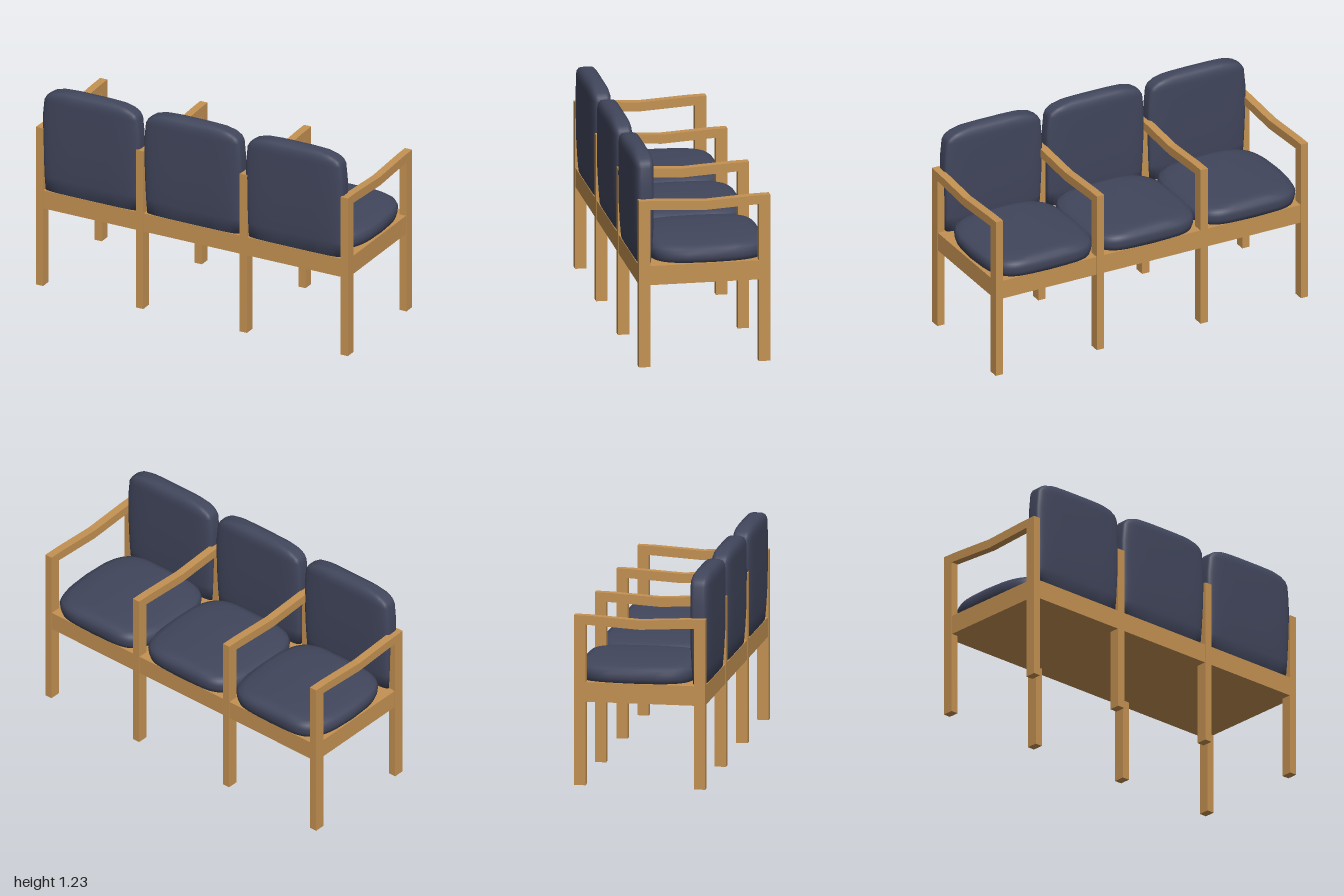
import * as THREE from 'three';

const wood = new THREE.MeshStandardMaterial({ color: 0xc49252 });
wood.name = 'oak wood';
const fabric = new THREE.MeshStandardMaterial({ color: 0x41465c });
fabric.name = 'navy fabric';

// Skins stacked rounded-rectangle rings [y, halfWidth, halfDepth]; bulge swells the sides outward.
function loft(rings, bulge = 0, power = 5, sides = 64) {
  const pos = [], index = [];
  const soft = (v) => Math.sign(v) * Math.pow(Math.abs(v), 2 / power);
  for (const [y, hx, hz] of rings) {
    for (let j = 0; j < sides; j++) {
      const a = (j / sides) * Math.PI * 2;
      const u = soft(Math.cos(a)), v = soft(Math.sin(a));
      pos.push(hx * u * (1 + bulge * (1 - v * v)), y, hz * v);
    }
  }
  const last = rings.length - 1, bottom = rings.length * sides, top = bottom + 1;
  pos.push(0, rings[0][0], 0, 0, rings[last][0], 0);
  for (let j = 0; j < sides; j++) {
    const k = (j + 1) % sides;
    for (let i = 0; i < last; i++) {
      const a = i * sides + j, b = i * sides + k;
      index.push(a, a + sides, b, b, a + sides, b + sides);
    }
    index.push(bottom, j, k, top, last * sides + k, last * sides + j);
  }
  const g = new THREE.BufferGeometry();
  g.setAttribute('position', new THREE.Float32BufferAttribute(pos, 3));
  g.setIndex(index);
  g.computeVertexNormals();
  return g;
}

// Two legs joined by a gently dipping armrest, as one flat frame
function armFrameGeometry(width) {
  const outline = [
    [-0.375, 0], [-0.31, 0], [-0.31, 0.922], [0, 0.904], [0.31, 0.922], [0.31, 0],
    [0.375, 0], [0.375, 0.975], [0.28, 0.973], [0, 0.957], [-0.28, 0.973], [-0.375, 0.975],
  ].map(([z, y]) => new THREE.Vector2(z, y));
  const g = new THREE.ExtrudeGeometry(new THREE.Shape(outline), { depth: width, bevelEnabled: false });
  return g.translate(0, 0, -width / 2).rotateY(-Math.PI / 2);
}

export function createModel() {
  const model = new THREE.Group();
  model.name = 'threeSeatBench';
  const add = (name, geometry, material, x, y, z) => {
    const mesh = new THREE.Mesh(geometry, material);
    mesh.name = name;
    mesh.position.set(x, y, z);
    model.add(mesh);
  };

  // Wooden frame
  const frame = armFrameGeometry(0.046);
  [-0.977, -0.335, 0.33, 0.977].forEach((x, i) => add('armFrame' + (i + 1), frame, wood, x, 0, 0));
  add('seatBase', new THREE.BoxGeometry(1.992, 0.112, 0.744), wood, 0, 0.535, 0);

  // Domed seat cushions with swelling sides
  const seat = loft([
    [0.588, 0.292, 0.325], [0.615, 0.3, 0.332], [0.645, 0.302, 0.337], [0.668, 0.29, 0.33],
    [0.683, 0.255, 0.315], [0.694, 0.18, 0.295], [0.7, 0.07, 0.27],
  ], 0.14);

  // Upright back cushions, wider near the top and rounded over
  const back = loft([
    [0.59, 0.299, 0.042], [0.68, 0.304, 0.05], [0.8, 0.308, 0.057], [0.95, 0.313, 0.058],
    [1.05, 0.312, 0.058], [1.15, 0.302, 0.058], [1.175, 0.288, 0.057], [1.195, 0.26, 0.052],
    [1.21, 0.215, 0.043], [1.22, 0.15, 0.028], [1.225, 0.08, 0.012],
  ]);

  [-0.655, -0.004, 0.648].forEach((x, i) => {
    add('seatCushion' + (i + 1), seat, fabric, x, 0, -0.047);
    add('backCushion' + (i + 1), back, fabric, x, 0, 0.327);
  });
  return model;
}
